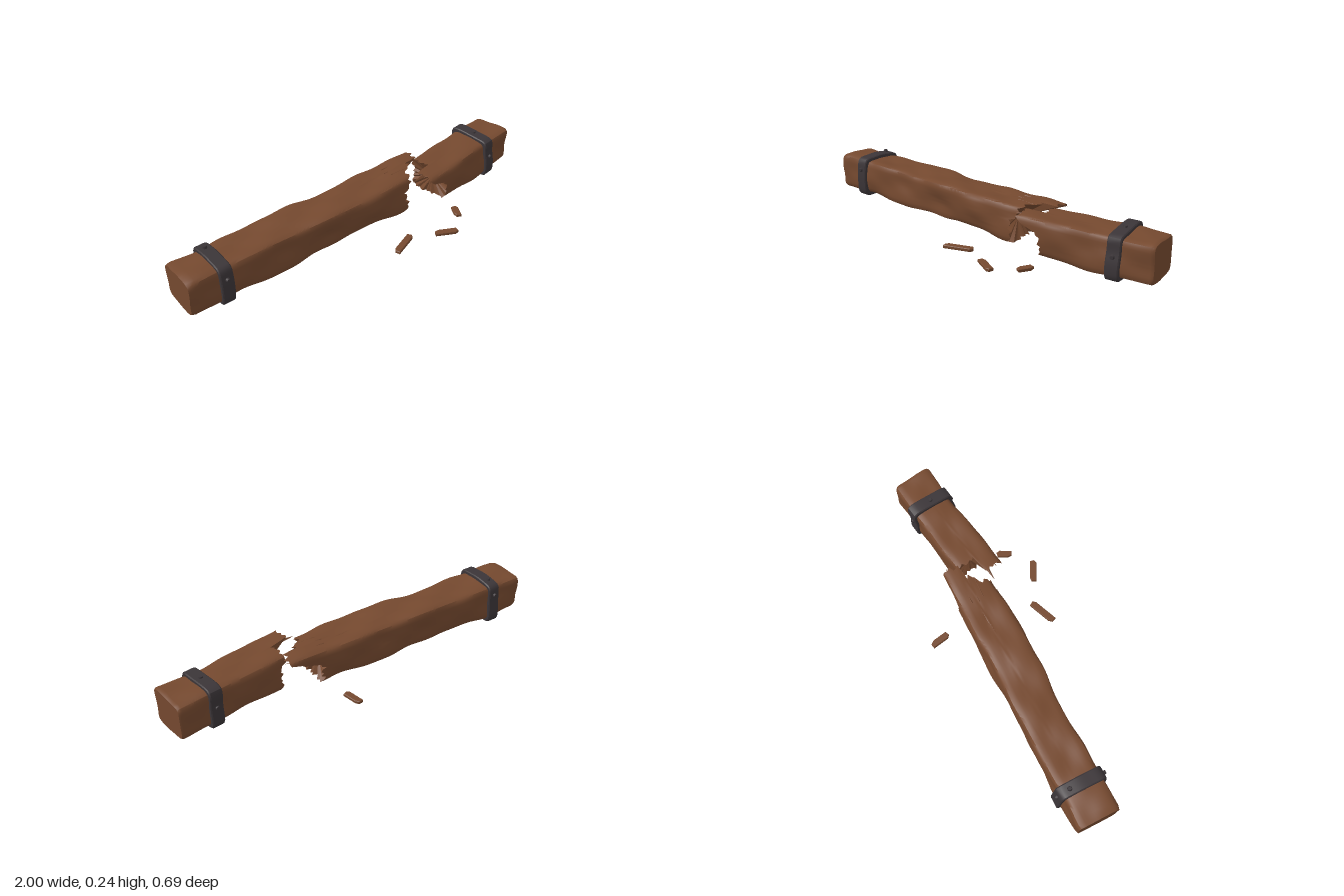
import * as THREE from 'three';
import { toCreasedNormals } from 'three/addons/utils/BufferGeometryUtils.js';

const wood = new THREE.MeshStandardMaterial({ color: 0x75492f });
wood.name = 'wood';
const iron = new THREE.MeshStandardMaterial({ color: 0x3b3538 });
iron.name = 'iron';
const COLS = 56;

// Skin a grid of points around a beam; at(row, angle, col) gives each point
function loft(rows, at, caps) {
  const pos = [], idx = [];
  for (let r = 0; r < rows; r++)
    for (let c = 0; c < COLS; c++) pos.push(...at(r, (c / COLS) * Math.PI * 2, c));
  for (let r = 0; r < rows - 1; r++)
    for (let c = 0; c < COLS; c++) {
      const d = (c + 1) % COLS, a = r * COLS;
      const b = a + COLS;
      idx.push(a + c, b + c, b + d, a + c, b + d, a + d);
    }
  if (caps) {
    const s = pos.length / 3, last = (rows - 1) * COLS;
    pos.push(...caps[0], ...caps[1]);
    for (let c = 0; c < COLS; c++) {
      const d = (c + 1) % COLS;
      idx.push(s, c, d, s + 1, last + d, last + c);
    }
  }
  const geo = new THREE.BufferGeometry();
  geo.setAttribute('position', new THREE.Float32BufferAttribute(pos, 3));
  geo.setIndex(idx);
  return toCreasedNormals(geo, 0.65);
}

// Worn squared section: returns [y, z] at a position along the beam
function section(x, a, o, grow = 0, shrink = 1) {
  const c = Math.cos(a), s = Math.sin(a), n = 8;
  const k = shrink / Math.pow(Math.abs(c) ** n + Math.abs(s) ** n, 1 / n);
  const w = o.wear;
  const wave = w * (Math.sin(x * 9 + 2 * a + o.seed) * 0.5
    + Math.sin(x * 17 - 3 * a + o.seed * 2) * 0.35 + Math.sin(x * 31 + 5 * a) * 0.15);
  const side = Math.max(0, c) * w * Math.sin(x * 6 + o.seed + s * 2) * 0.8;
  return [
    o.y + s * k * (o.h + wave + grow),
    o.z + c * k * (o.d + wave + side + grow),
  ];
}

function beam(name, o, start, end, caps, whole) {
  const rows = 64;
  const at = (r, a, c) => {
    const t = r / (rows - 1);
    const x = THREE.MathUtils.lerp(start(a, c), end(a, c), t);
    const tip = whole === 0 ? r === 0 : r === rows - 1;
    return [x, ...section(x, a, o, 0, tip ? 0.95 : 1)];
  };
  const mesh = new THREE.Mesh(loft(rows, at, caps), wood);
  mesh.name = name;
  return mesh;
}

// Iron strap that follows the section, with domed rivets
function strap(name, x, o, rivetZ, rivetY) {
  const g = new THREE.Group();
  g.name = name;
  const prof = [[-0.033, -0.012], [-0.033, 0.012], [-0.028, 0.016],
    [0.028, 0.016], [0.033, 0.012], [0.033, -0.012]];
  const band = new THREE.Mesh(
    loft(prof.length, (r, a) => [x + prof[r][0], ...section(x, a, o, prof[r][1])]), iron);
  band.name = 'band';
  g.add(band);
  const top = section(x, Math.PI / 2, o, 0.018)[0];
  const front = section(x, 0, o, 0.017)[1], back = section(x, Math.PI, o, 0.017)[1];
  const rivets = [[top, rivetZ, 0], [rivetY, front, 1], [rivetY, back, -1]];
  for (const [y, z, turn] of rivets) {
    const rivet = new THREE.Mesh(new THREE.CylinderGeometry(0.009, 0.012, 0.012, 10), iron);
    rivet.position.set(x, y, z);
    rivet.rotation.x = turn * Math.PI / 2;
    rivet.name = 'rivet';
    g.add(rivet);
  }
  return g;
}

// Four-sided sliver of torn wood between two points
function splinter(from, to, radius) {
  const a = new THREE.Vector3(...from), b = new THREE.Vector3(...to);
  const dir = b.clone().sub(a);
  const geo = new THREE.ConeGeometry(radius, dir.length(), 4).toNonIndexed();
  geo.computeVertexNormals();
  const m = new THREE.Mesh(geo, wood);
  m.position.copy(a).add(b).multiplyScalar(0.5);
  m.quaternion.setFromUnitVectors(new THREE.Vector3(0, 1, 0), dir.normalize());
  m.name = 'splinter';
  return m;
}

// Loose chip lying on the ground between two [x, z] points
function chip(x0, z0, x1, z1) {
  const l = Math.hypot(x1 - x0, z1 - z0) / 2, w = 0.017;
  const s = new THREE.Shape([[-l, -w], [l - 0.015, -w], [l, -w * 0.3], [l - 0.006, w],
    [-l + 0.02, w], [-l, w * 0.4]].map(p => new THREE.Vector2(...p)));
  const geo = new THREE.ExtrudeGeometry(s, {
    depth: 0.011, bevelEnabled: true, bevelThickness: 0.003,
    bevelSize: 0.003, bevelOffset: -0.003, bevelSegments: 1,
  });
  geo.rotateX(-Math.PI / 2).translate(0, 0.003, 0);
  const m = new THREE.Mesh(geo, wood);
  m.position.set((x0 + x1) / 2, 0, (z0 + z1) / 2);
  m.rotation.y = -Math.atan2(z1 - z0, x1 - x0);
  m.name = 'woodChip';
  return m;
}

export function createModel() {
  const root = new THREE.Group();
  root.name = 'brokenBeam';
  const step = THREE.MathUtils.smoothstep;
  const jag = c => 0.012 * Math.sin(c * 2.4) + 0.008 * Math.sin(c * 5.1);

  // Long piece: its torn end overhangs along the top and back
  const long = { y: 0.12, z: -0.042, h: 0.093, d: 0.107, wear: 0.009, seed: 1 };
  const longEnd = (a, c) => {
    const [y, z] = section(0.3, a, long);
    const reach = z < -0.055 ? 0.41 : z < -0.01 ? 0.33 : 0.28;
    return 0.24 + jag(c) + (reach - 0.24) * step(y, 0.13, 0.2);
  };
  root.add(beam('longPiece', long, () => -1, longEnd, [[-1, 0.12, -0.04], [0.2, 0.12, -0.04]], 0));
  root.add(strap('longPieceStrap', -0.82, long, -0.1, 0.165));

  // Short piece: knocked askew, its torn end reaches over the front
  const short = { y: 0.12, z: 0, h: 0.092, d: 0.105, wear: 0.007, seed: 3 };
  const shortStart = (a, c) => {
    const [y, z] = section(-0.3, a, short);
    const reach = z > 0.01 ? -0.4 : -0.31;
    return -0.28 + jag(c) * 0.6 + (reach + 0.28) * step(y, 0.13, 0.2);
  };
  const piece = new THREE.Group();
  piece.name = 'shortPieceGroup';
  piece.position.set(0.72, 0, -0.02);
  piece.rotation.y = 0.14;
  piece.add(beam('shortPiece', short, shortStart, () => 0.266,
    [[-0.26, 0.12, 0], [0.266, 0.12, 0]], 1));
  piece.add(strap('shortPieceStrap', 0.085, short, 0.0, 0.13));
  root.add(piece);

  // Torn slivers bridging the break
  const slivers = [
    [[0.3, 0.205, -0.13], [0.43, 0.205, -0.125], 0.012],
    [[0.2, 0.211, -0.09], [0.34, 0.214, -0.088], 0.006],
    [[0.19, 0.211, -0.055], [0.33, 0.214, -0.052], 0.006],
    [[0.21, 0.211, -0.025], [0.32, 0.215, -0.022], 0.006],
    [[0.38, 0.195, 0.06], [0.27, 0.19, 0.07], 0.014],
    [[0.42, 0.18, 0.1], [0.33, 0.185, 0.113], 0.012],
  ];
  for (const s of slivers) root.add(splinter(...s));

  // Chips scattered on the ground
  const chips = [[0, 0.27, 0.14, 0.215], [0.245, 0.28, 0.35, 0.335],
    [0.435, 0.25, 0.472, 0.18], [0.16, -0.345, 0.18, -0.245]];
  for (const c of chips) root.add(chip(...c));
  return root;
}
